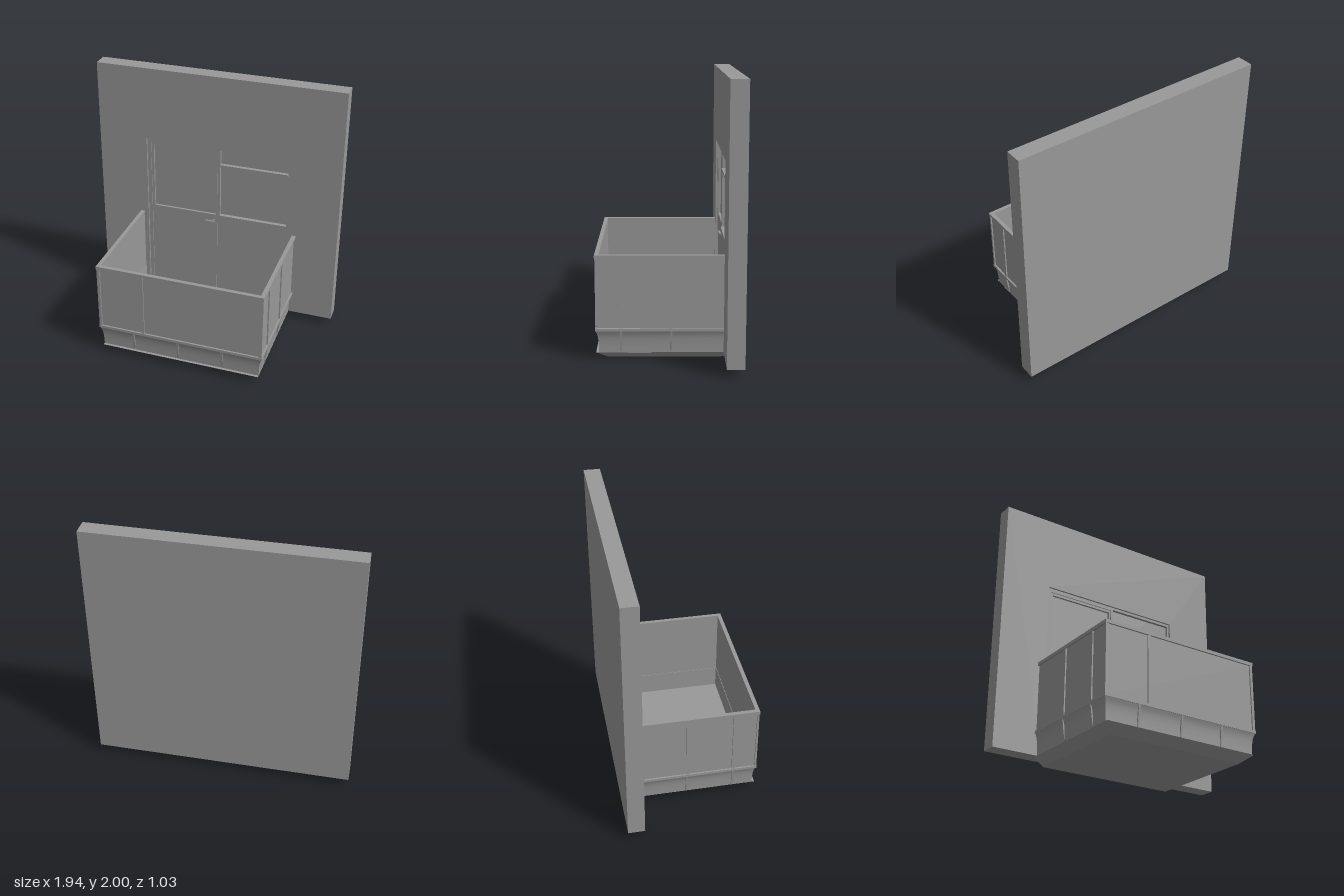
import * as THREE from 'three';

const WALL_Z = -0.39; // outer face of the house wall
const RAIL = 0.645;   // half width of the balcony at the rails
const SHIFT = 0.13;   // front z of the balcony = half width - SHIFT

export function createModel() {
  const group = new THREE.Group();
  const concrete = new THREE.MeshStandardMaterial({ color: 0x999999 });
  concrete.name = 'concrete grey';

  const add = (name, geometry) => {
    const mesh = new THREE.Mesh(geometry, concrete);
    mesh.name = name;
    group.add(mesh);
    return mesh;
  };
  // Box given by its limits
  const box = (name, x0, x1, y0, y1, z0, z1) => {
    const g = new THREE.BoxGeometry(x1 - x0, y1 - y0, z1 - z0);
    g.translate((x0 + x1) / 2, (y0 + y1) / 2, (z0 + z1) / 2);
    return add(name, g);
  };
  const rect = (T, x0, x1, y0, y1) =>
    new T([[x0, y0], [x1, y0], [x1, y1], [x0, y1]].map(p => new THREE.Vector2(...p)));
  // Upright plate with rectangular holes
  const plate = (name, shape, holes, z0, z1) => {
    shape.holes = holes.map(h => rect(THREE.Path, ...h));
    const g = new THREE.ExtrudeGeometry(shape, { depth: z1 - z0, bevelEnabled: false });
    return add(name, g.translate(0, 0, z0));
  };

  // House wall with a shallow opening down to the floor
  const back = -0.43;
  box('wallBack', -0.97, 0.97, 0.06, 2, -0.515, back);
  const surround = new THREE.Shape([
    [-0.97, 0.06], [-0.58, 0.06], [-0.58, 1.42], [0.575, 1.42],
    [0.575, 0.06], [0.97, 0.06], [0.97, 2], [-0.97, 2],
  ].map(p => new THREE.Vector2(...p)));
  plate('wallSurround', surround, [], back, WALL_Z);

  // Door and window set in the opening
  plate('doorWindowFrame', rect(THREE.Shape, -0.58, 0.575, 0.06, 1.42),
    [[-0.55, 0.002, 0.07, 1.39], [0.02, 0.56, 0.83, 1.265], [0.02, 0.56, 1.28, 1.4]],
    back, -0.405);
  plate('doorLeaf', rect(THREE.Shape, -0.55, -0.002, 0.07, 1.39),
    [[-0.53, -0.015, 0.83, 1.37]], back, -0.412);
  box('windowSill', 0.02, 0.56, 0.82, 0.835, back, -0.398);
  box('windowTransom', 0.02, 0.56, 1.265, 1.28, back, -0.4);
  box('handlePlate', -0.04, -0.015, 0.755, 0.785, -0.415, -0.404);
  box('handleLever', -0.1, -0.02, 0.765, 0.778, -0.4, -0.386);
  box('handleNeck', -0.035, -0.022, 0.765, 0.778, -0.41, -0.39);

  // Floor slab, chamfered on the underside
  const slab = new THREE.BoxGeometry(1.24, 0.06, 0.94).toNonIndexed();
  slab.translate(0, 0.03, 0.04);
  const pos = slab.attributes.position;
  for (let i = 0; i < pos.count; i++) {
    if (pos.getY(i) > 0.03) continue;
    pos.setX(i, Math.sign(pos.getX(i)) * 0.54);
    if (pos.getZ(i) > 0) pos.setZ(i, 0.43);
  }
  slab.computeVertexNormals();
  add('floorSlab', slab);

  // Bar or panel following the three open sides, r0 inside to r1 outside
  const parapet = (name, r0, r1, y0, y1) => {
    box(name + 'Front', -r1, r1, y0, y1, r0 - SHIFT, r1 - SHIFT);
    for (const s of [-1, 1]) {
      const xs = [s * r0, s * r1].sort((a, b) => a - b);
      box(name + (s > 0 ? 'Left' : 'Right'), ...xs, y0, y1, WALL_Z, r0 - SHIFT);
    }
  };
  parapet('panel', 0.617, 0.632, 0.235, 0.75);
  parapet('topRail', 0.615, RAIL, 0.745, 0.77);
  parapet('bottomRail', 0.616, RAIL, 0.222, 0.242);
  parapet('innerSkirt', 0.613, 0.6185, 0.06, 0.235);

  // Posts on the outside of the panels
  const post = 0.642;
  box('frontPost', -0.298, -0.276, 0.24, 0.746, 0.49, post - SHIFT);
  for (const s of [-1, 1]) {
    const edge = [s * 0.62, s * post].sort((a, b) => a - b);
    for (const z of [0.333, -0.015]) box('sidePost', ...edge, 0.24, 0.746, z - 0.011, z + 0.011);
    box('cornerPost', ...edge, 0.24, 0.746, 0.497, post - SHIFT);
  }

  // Concave skirt below the panels, swept round the three sides
  const profile = [[0.619, 0.06], [0.62, 0.1], [0.622, 0.14], [0.626, 0.175], [0.632, 0.2], [0.641, 0.222]];
  const corner = [
    r => [-r, WALL_Z], r => [-r, r - SHIFT], r => [r, r - SHIFT], r => [r, WALL_Z],
  ];
  for (let side = 0; side < 3; side++) {
    const verts = [], index = [];
    profile.forEach(([r, y], i) => {
      for (const c of [corner[side], corner[side + 1]]) {
        const [x, z] = c(r);
        verts.push(x, y, z);
      }
      if (i) {
        const a = 2 * i - 2;
        index.push(a, a + 1, a + 3, a, a + 3, a + 2);
      }
    });
    const g = new THREE.BufferGeometry();
    g.setAttribute('position', new THREE.Float32BufferAttribute(verts, 3));
    g.setIndex(index);
    g.computeVertexNormals();
    add(['skirtRight', 'skirtFront', 'skirtLeft'][side], g);
  }

  // Tapered ribs on the skirt, drawn in section and given a width
  const ribShape = new THREE.Shape([[0.615, 0.07], [0.622, 0.07], [0.633, 0.14], [0.643, 0.225], [0.615, 0.225]]
    .map(p => new THREE.Vector2(...p)));
  const rib = () => new THREE.ExtrudeGeometry(ribShape, { depth: 0.014, bevelEnabled: false })
    .translate(0, 0, -0.007);
  for (const x of [-0.367, -0.013, 0.333]) {
    add('frontRib', rib().rotateY(-Math.PI / 2).translate(x, 0, -SHIFT));
  }
  for (const z of [0.333, -0.02]) {
    add('leftRib', rib().translate(0, 0, z));
    add('rightRib', rib().rotateY(Math.PI).translate(0, 0, z));
  }
  return group;
}
